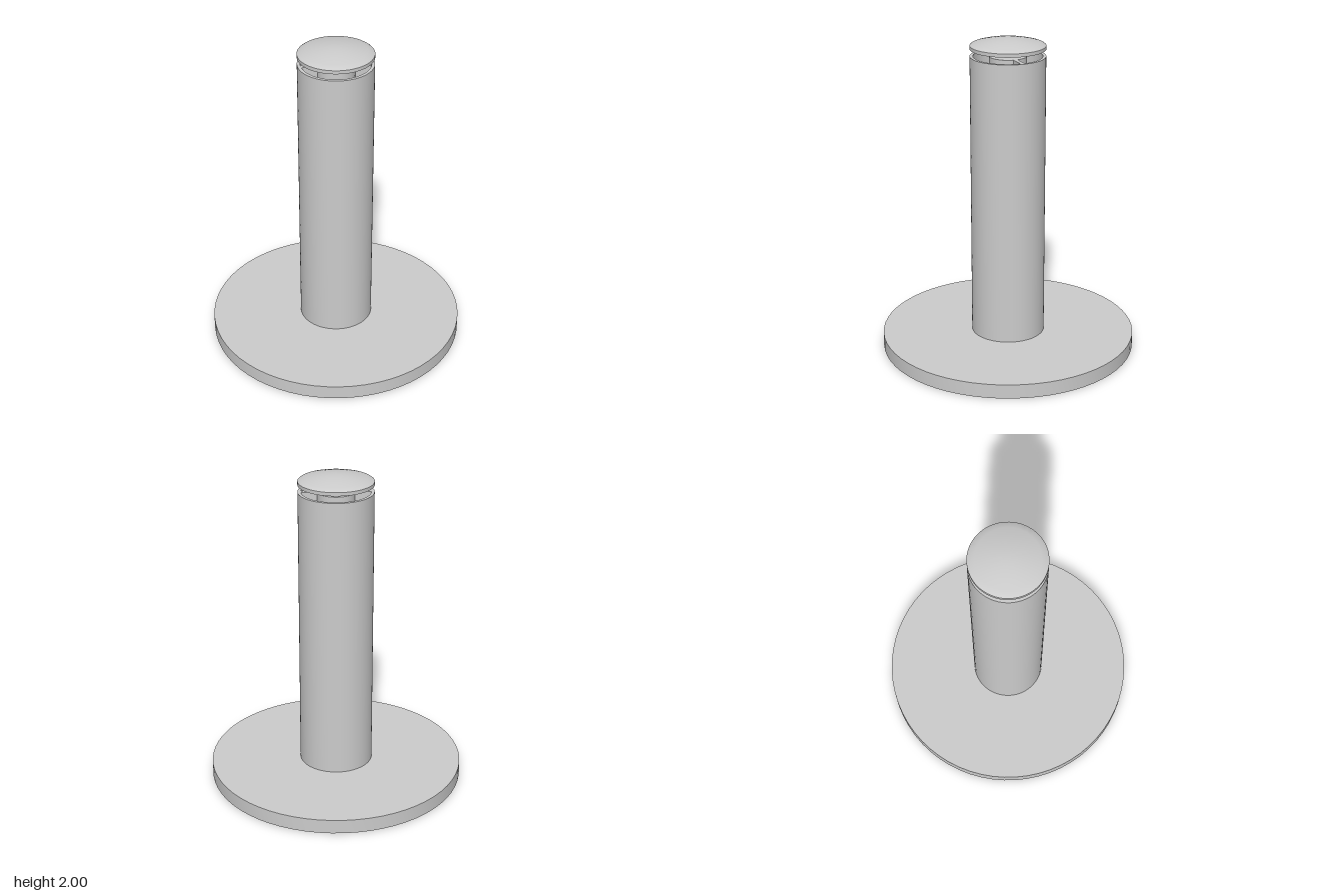
import * as THREE from 'three';
import { toCreasedNormals } from 'three/addons/utils/BufferGeometryUtils.js';

const RADIUS = 0.232;

export function createModel() {
  const model = new THREE.Group();
  const material = new THREE.MeshStandardMaterial({ color: 0xcccccc });

  const add = (name, geometry, y) => {
    const mesh = new THREE.Mesh(toCreasedNormals(geometry, 0.6), material);
    mesh.name = name;
    mesh.position.y = y;
    model.add(mesh);
  };
  const disc = (r) => new THREE.Shape().absarc(0, 0, r, 0, Math.PI * 2, false);
  // Extrude a flat outline straight up
  const extrudeUp = (shape, height) =>
    new THREE.ExtrudeGeometry(shape, { depth: height, bevelEnabled: false, curveSegments: 32 })
      .rotateX(-Math.PI / 2);

  // Round foot plate with a central bore
  const plate = disc(0.805);
  plate.holes.push(new THREE.Path().absarc(0, 0, RADIUS, 0, Math.PI * 2, true));
  add('basePlate', extrudeUp(plate, 0.09), 0);

  // Column: outer wall and inner core joined by two thin webs
  const inner = 0.115, outer = 0.212, web = 0.014;
  const column = disc(RADIUS);
  for (const start of [0, Math.PI]) {
    const a = Math.asin(web / outer), b = Math.asin(web / inner);
    const channel = new THREE.Path();
    channel.absarc(0, 0, outer, start + a, start + Math.PI - a, false);
    channel.absarc(0, 0, inner, start + Math.PI - b, start + b, true);
    channel.closePath();
    column.holes.push(channel);
  }
  add('column', extrudeUp(column, 1.8), 0.09);

  // Domed cap held just above the column
  const profile = [
    [0, 0], [RADIUS, 0], [RADIUS, 0.022], [0.222, 0.029], [0.19, 0.038],
    [0.14, 0.05], [0.09, 0.059], [0.045, 0.064], [0, 0.066],
  ].map(([x, y]) => new THREE.Vector2(x, y));
  add('cap', new THREE.LatheGeometry(profile, 64), 1.934);

  return model;
}
